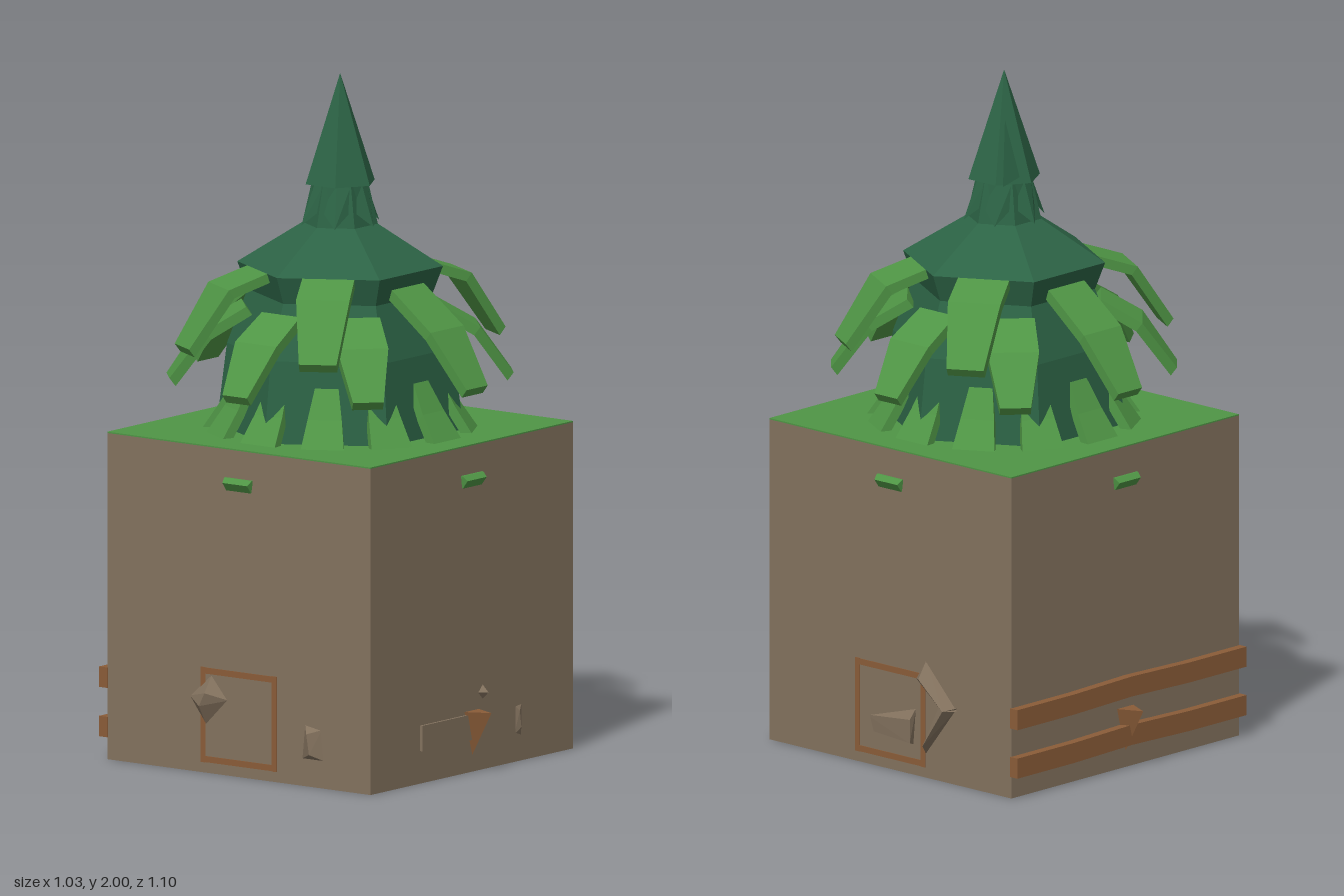
import * as THREE from 'three';
import { ConvexGeometry } from 'three/addons/geometries/ConvexGeometry.js';

export function createModel() {
  const model = new THREE.Group();
  const material = (name, color, side = THREE.FrontSide) => {
    const m = new THREE.MeshStandardMaterial({ color, side, flatShading: true });
    m.name = name;
    return m;
  };
  const earth = material('earth brown', 0x83725e);
  const leafGreen = material('leaf green', 0x4f9545);
  const pine = material('pine green', 0x2c6345, THREE.DoubleSide);
  const wood = material('wood', 0x8a5c38);

  const add = (name, geometry, mat, x = 0, y = 0, z = 0, parent = model) => {
    const mesh = new THREE.Mesh(geometry, mat);
    mesh.name = name;
    mesh.position.set(x, y, z);
    parent.add(mesh);
    return mesh;
  };
  const box = (name, w, h, d, mat, x, y, z, parent) =>
    add(name, new THREE.BoxGeometry(w, h, d), mat, x, y, z, parent);
  const hull = (name, mat, points) =>
    add(name, new ConvexGeometry(points.map(p => new THREE.Vector3(...p))), mat);

  // Earth cube with a grass top
  box('earthBlock', 0.96, 0.958, 0.96, earth, 0, 0.479, 0);
  box('grassTop', 0.96, 0.004, 0.96, leafGreen, 0, 0.96, 0);

  // Six-sided foliage body
  const body = [[0.36, 0.96], [0.33, 1.2], [0.27, 1.36], [0.3, 1.44], [0.11, 1.56], [0.08, 1.69]];
  const bodyGeometry = new THREE.LatheGeometry(body.map(p => new THREE.Vector2(...p)), 6);
  bodyGeometry.rotateY(Math.PI / 2);
  add('foliageBody', bodyGeometry, pine);

  // Jagged collar and pointed crown
  const collar = new THREE.CylinderGeometry(0.08, 0.1, 0.1, 12, 1, true);
  const cp = collar.attributes.position;
  for (let i = 0; i < cp.count; i++) {
    if (cp.getY(i) > 0) continue;
    const point = (i % 13) % 2 === 0;
    const s = point ? 1.22 : 0.9;
    cp.setXYZ(i, cp.getX(i) * s, point ? -0.07 : -0.02, cp.getZ(i) * s);
  }
  add('crownCollar', collar, pine, 0, 1.63, 0);
  add('crown', new THREE.ConeGeometry(0.108, 0.32, 6), pine, 0, 1.84, 0);
  hull('crownShard', pine, [[0.05, 1.87, -0.05], [0.09, 1.68, -0.08], [0.03, 1.7, -0.09], [0.03, 1.68, -0.03]]);

  // Drooping leaf: a box bent along [radius, height, half width] stations
  function leaf(name, degrees, stations, thick = 0.03) {
    const n = stations.length - 1;
    const g = new THREE.BoxGeometry(1, 1, 1, 1, 1, n);
    const p = g.attributes.position;
    for (let i = 0; i < p.count; i++) {
      const [r, y, w] = stations[Math.round((p.getZ(i) + 0.5) * n)];
      const under = p.getY(i) < 0 ? thick : 0;
      p.setXYZ(i, Math.sign(p.getX(i)) * w, y - under * 0.8, r - under * 0.6);
    }
    add(name, g, leafGreen).rotation.y = Math.PI / 2 - degrees * Math.PI / 180;
  }
  const upper = [[0.2, 1.46, 0.075], [0.38, 1.4, 0.078], [0.495, 1.23, 0.055]];
  const middle = [[0.22, 1.42, 0.075], [0.39, 1.29, 0.078], [0.5, 1.13, 0.05]];
  const lower = [[0.28, 1.33, 0.07], [0.4, 1.26, 0.075], [0.5, 1.12, 0.045]];
  const ground = [[0.28, 1.15, 0.03], [0.34, 1.04, 0.05], [0.4, 0.95, 0.065]];
  for (const a of [30, 150, 210, 330]) leaf('upperLeaf', a, upper);
  for (const a of [90, 270]) leaf('middleLeaf', a, middle);
  for (const a of [0, 180, 47, 133, 227, 313]) leaf('lowerLeaf', a, lower);
  for (let a = 0; a < 360; a += 30) leaf('groundLeaf', a, ground);

  // Grass tufts poking out of the four sides
  for (let a = 0; a < 360; a += 90) leaf('sideTuft', a, [[0.46, 0.88, 0.05], [0.485, 0.875, 0.05], [0.5, 0.862, 0.045]]);

  // Wooden spikes front and back
  for (const s of [1, -1]) {
    hull('woodenSpike', wood, [[-0.035, 0.18, s * 0.478], [0.035, 0.18, s * 0.478], [0, 0.18, s * 0.552], [0, 0.05, s * 0.482]]);
  }

  // Two slightly bowed planks across the back
  for (const y of [0.095, 0.24]) {
    const g = new THREE.BoxGeometry(0.968, 0.06, 0.03, 4, 1, 1);
    const p = g.attributes.position;
    for (let i = 0; i < p.count; i++) p.setY(i, p.getY(i) + (Math.abs(p.getX(i)) < 0.1 ? 0.006 : 0));
    add('backPlank', g, wood, 0, y, -0.492);
  }

  // Thin wooden frames on both sides
  for (const s of [1, -1]) {
    const frame = new THREE.Group();
    frame.name = 'sideFrame';
    for (const z of [-0.13, 0.13]) box('framePost', 0.004, 0.28, 0.018, wood, s * 0.48, 0.17, z, frame);
    for (const y of [0.04, 0.3]) box('frameRail', 0.004, 0.018, 0.26, wood, s * 0.48, y, 0, frame);
    model.add(frame);
  }

  // Slab and pebbles on the front
  box('frontSlab', 0.24, 0.075, 0.02, earth, -0.125, 0.133, 0.478);
  add('frontPebble', new THREE.OctahedronGeometry(0.025), earth, 0.052, 0.228, 0.476);
  hull('frontSliver', earth, [[0.205, 0.08, 0.478], [0.235, 0.07, 0.478], [0.225, 0.1, 0.488], [0.218, 0.15, 0.488], [0.205, 0.165, 0.478], [0.24, 0.17, 0.478]]);

  // Rocks on the left side
  hull('upperRock', earth, [[0.478, 0.35, -0.14], [0.478, 0.29, -0.1], [0.478, 0.22, -0.2], [0.478, 0.22, -0.265], [0.512, 0.3, -0.14], [0.512, 0.22, -0.235]]);
  hull('lowerRock', earth, [[0.478, 0.07, -0.14], [0.478, 0.23, -0.265], [0.478, 0.22, -0.19], [0.512, 0.22, -0.235], [0.505, 0.1, -0.15]]);
  hull('longShard', earth, [[0.478, 0.145, 0.095], [0.478, 0.2, -0.1], [0.478, 0.09, -0.09], [0.505, 0.17, -0.1], [0.505, 0.1, -0.1], [0.478, 0.1, 0.08]]);

  // Rocks on the right side
  hull('sideRock', earth, [[-0.478, 0.29, -0.1], [-0.478, 0.22, -0.18], [-0.478, 0.22, -0.04], [-0.478, 0.14, -0.12], [-0.514, 0.24, -0.1], [-0.514, 0.2, -0.12]]);
  hull('sidePebble', earth, [[-0.478, 0.18, 0.24], [-0.478, 0.17, 0.3], [-0.478, 0.08, 0.31], [-0.478, 0.08, 0.23], [-0.512, 0.16, 0.27], [-0.512, 0.1, 0.28]]);

  return model;
}
